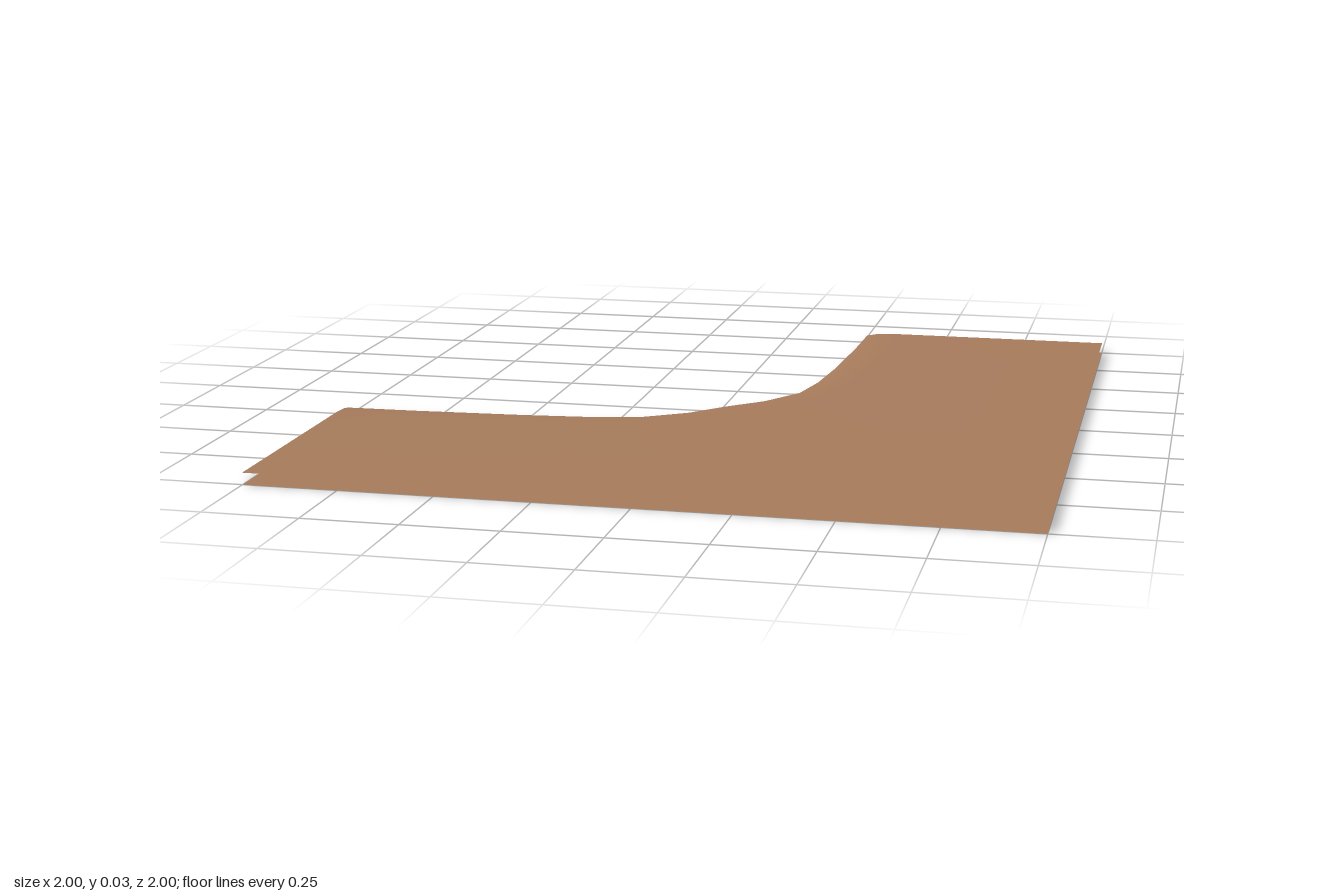
import * as THREE from 'three';
import { toCreasedNormals } from 'three/addons/utils/BufferGeometryUtils.js';

const H = 0.031; // slab thickness

// Inner curved edge as [x, z]; the second half mirrors the first across x = z
function innerEdge() {
  const half = [[-1, 0.262], [-0.8, 0.257], [-0.5, 0.241], [-0.32, 0.224], [-0.18, 0.196], [-0.06, 0.118]];
  const mirrored = half.map(([x, z]) => [z, x]).reverse();
  return [...half, [0.025, 0.025], ...mirrored];
}

// Point on the straight outer edges that belongs to a station of the inner edge
function outerPoint(i, edge) {
  const mid = (edge.length - 1) / 2;
  const spread = (v) => -1 + 2 * (v + 1) / 1.025;
  return i <= mid ? [spread(edge[i][0]), 1] : [1, spread(edge[i][1])];
}

// Inward direction, square to the curve and flush with the two cut ends
function inward(i, edge) {
  const last = edge.length - 1;
  if (i === 0) return [0, 1];
  if (i === last) return [1, 0];
  const dx = edge[i + 1][0] - edge[i - 1][0];
  const dz = edge[i + 1][1] - edge[i - 1][1];
  const l = Math.hypot(dx, dz);
  return [-dz / l, dx / l];
}

function shellGeometry() {
  const edge = innerEdge();
  // rounded nose of the curved edge: [inset, height], bottom to top
  const nose = [[0.09, 0], [0.03, 0.003], [0, 0.009], [0, H - 0.009], [0.03, H - 0.003], [0.09, H]];
  const rows = nose.length + 2;
  const pos = [];
  const index = [];
  edge.forEach(([x, z], i) => {
    const [ox, oz] = outerPoint(i, edge);
    const [nx, nz] = inward(i, edge);
    pos.push(ox, 0, oz);
    for (const [d, y] of nose) pos.push(x + nx * d, y, z + nz * d);
    pos.push(ox, H, oz);
  });
  for (let i = 0; i < edge.length - 1; i++) {
    for (let j = 0; j < rows - 1; j++) {
      const a = i * rows + j, b = a + 1, c = a + rows, d = c + 1;
      index.push(a, b, c, b, d, c);
    }
  }
  const g = new THREE.BufferGeometry();
  g.setAttribute('position', new THREE.Float32BufferAttribute(pos, 3));
  g.setIndex(index);
  return toCreasedNormals(g, 0.7);
}

export function createModel() {
  const group = new THREE.Group();
  group.name = 'cornerDesktop';
  // Thin L-shaped top: upper and lower sheets joined along the curved edge, open at the straight sides
  const wood = new THREE.MeshStandardMaterial({ color: 0xa87c5c, side: THREE.DoubleSide });
  const top = new THREE.Mesh(shellGeometry(), wood);
  top.name = 'desktop';
  group.add(top);
  return group;
}
